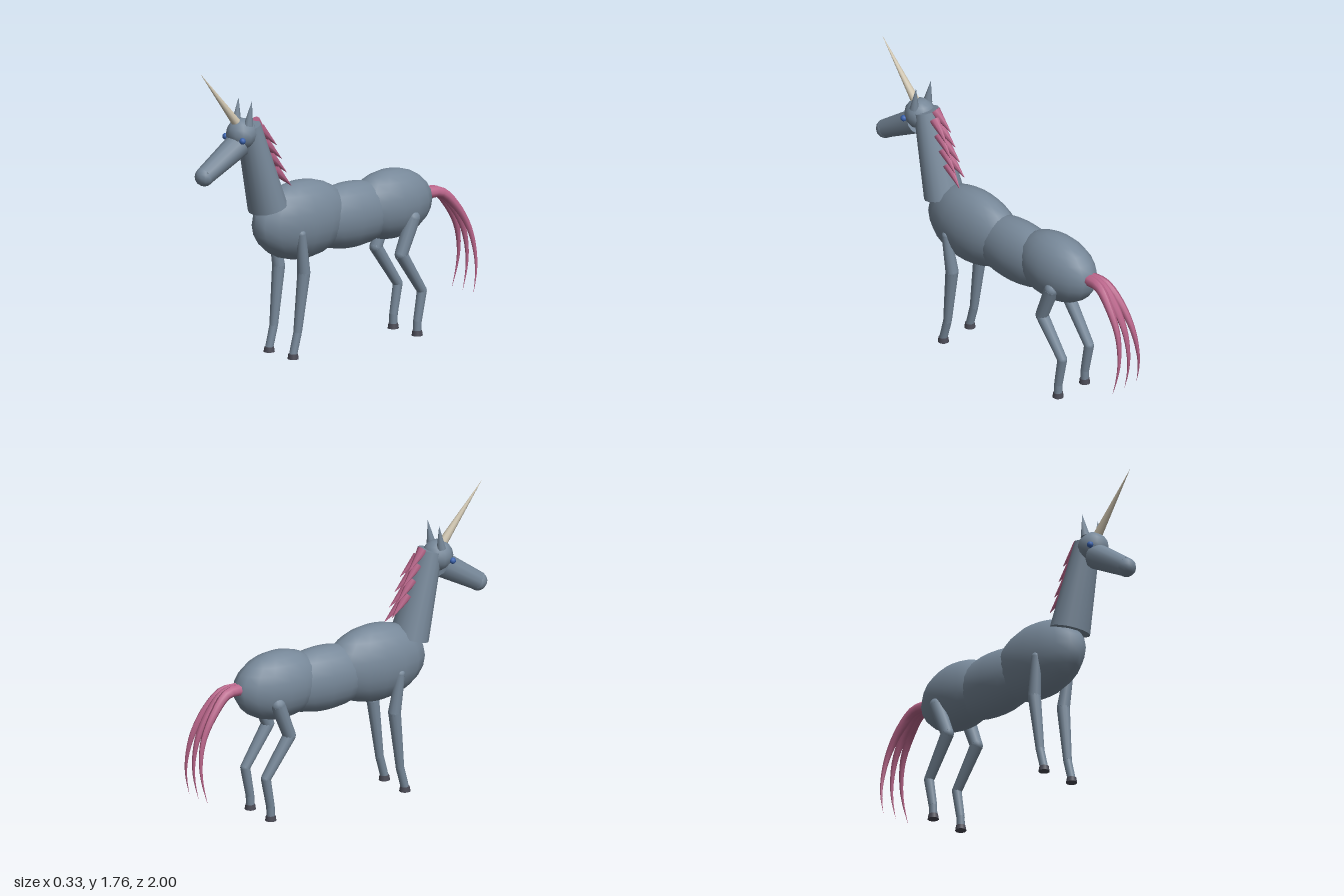
import * as THREE from 'three';

const V = (x, y, z) => new THREE.Vector3(x, y, z);

function paint(name, color) {
  const m = new THREE.MeshStandardMaterial({ color });
  m.name = name;
  return m;
}

export function createModel() {
  const model = new THREE.Group();
  model.name = 'hornedHorse';
  const coat = paint('coat', 0x778899);
  const pink = paint('pinkHair', 0xb9658a);
  const ivory = paint('hornIvory', 0xcfc5b0);
  const blue = paint('eyeBlue', 0x3a62ad);
  const dark = paint('hoofGrey', 0x4a4a55);

  function add(parent, name, geometry, material) {
    const mesh = new THREE.Mesh(geometry, material);
    mesh.name = name;
    parent.add(mesh);
    return mesh;
  }
  function ellipsoid(parent, name, c, r, material, w = 16, h = 12) {
    const mesh = add(parent, name, new THREE.SphereGeometry(1, w, h), material);
    mesh.position.copy(c);
    mesh.scale.copy(r);
    return mesh;
  }
  const ball = (parent, name, c, r, material) => ellipsoid(parent, name, c, V(r, r, r), material, 12, 8);
  // Tapered round limb running from a (radius ra) to b (radius rb)
  function limb(parent, name, a, b, ra, rb, material, sides = 12) {
    const d = b.clone().sub(a);
    const mesh = add(parent, name, new THREE.CylinderGeometry(rb, ra, d.length(), sides), material);
    mesh.position.copy(a).addScaledVector(d, 0.5);
    mesh.quaternion.setFromUnitVectors(V(0, 1, 0), d.normalize());
    return mesh;
  }

  // Barrel of the body: three overlapping ellipsoids
  ellipsoid(model, 'chest', V(0, 0.787, 0.235), V(0.16, 0.233, 0.335), coat);
  ellipsoid(model, 'belly', V(0, 0.76, -0.12), V(0.145, 0.195, 0.36), coat);
  ellipsoid(model, 'rump', V(0, 0.78, -0.42), V(0.157, 0.206, 0.29), coat);

  // Neck and head
  const neck = limb(model, 'neck', V(0, 0.895, 0.475), V(0, 1.4, 0.617), 0.112, 0.07, coat, 16);
  neck.scale.x = 1.12;
  ball(model, 'skull', V(0, 1.36, 0.667), 0.092, coat);
  limb(model, 'muzzle', V(0, 1.3, 0.69), V(0, 1.15, 0.935), 0.076, 0.056, coat);
  ball(model, 'nose', V(0, 1.146, 0.94), 0.057, coat);
  limb(model, 'horn', V(0, 1.43, 0.705), V(0, 1.76, 0.97), 0.027, 0, ivory, 10);

  // Mane: tufts alternating to either side down the back of the neck
  const mane = new THREE.Group();
  mane.name = 'mane';
  model.add(mane);
  for (let i = 0; i < 8; i++) {
    const t = i / 7;
    const side = i % 2 ? 1 : -1;
    const base = V(side * 0.012, 1.415 - 0.3 * t, 0.56 - 0.125 * t);
    limb(mane, 'maneTuft', base, V(side * 0.03, base.y - 0.115, base.z - 0.115), 0.033, 0, pink, 8);
  }

  // Tail strand: tube swept along a curve and narrowed to a point
  function strand(parent, points, r) {
    const curve = new THREE.CatmullRomCurve3(points);
    const steps = 20, sides = 8;
    const g = new THREE.TubeGeometry(curve, steps, r, sides, false);
    const p = g.attributes.position;
    const v = V(0, 0, 0), c = V(0, 0, 0);
    for (let i = 0; i <= steps; i++) {
      curve.getPointAt(i / steps, c);
      for (let j = 0; j <= sides; j++) {
        const k = i * (sides + 1) + j;
        v.fromBufferAttribute(p, k).sub(c).multiplyScalar(1 - i / steps).add(c);
        p.setXYZ(k, v.x, v.y, v.z);
      }
    }
    g.computeVertexNormals();
    add(parent, 'tailStrand', g, pink);
  }
  const tail = new THREE.Group();
  tail.name = 'tail';
  model.add(tail);
  for (const s of [-1, 0, 1]) {
    strand(tail, [
      V(s * 0.012, 0.8, -0.67), V(s * 0.025, 0.795, -0.78), V(s * 0.045, 0.7, -0.88),
      V(s * 0.06, 0.56, -0.96), V(s * 0.077, 0.41, -0.99), V(s * 0.09, 0.3, -0.985),
      V(s * 0.1, 0.175, -0.957),
    ], 0.036);
  }

  // Paired parts
  for (const s of [1, -1]) {
    const side = s > 0 ? 'left' : 'right';
    ball(model, side + 'Eye', V(s * 0.079, 1.337, 0.722), 0.019, blue);
    limb(model, side + 'Ear', V(s * 0.055, 1.415, 0.66), V(s * 0.062, 1.56, 0.64), 0.028, 0, coat, 8);

    // Each joint is [x, y, z, radius], from hip to pastern
    const legs = {
      FrontLeg: [[0.132, 0.735, 0.332, 0.028], [0.117, 0.5, 0.302, 0.038],
        [0.111, 0.15, 0.343, 0.025], [0.111, 0.025, 0.376, 0.024]],
      HindLeg: [[0.122, 0.705, -0.495, 0.044], [0.117, 0.5, -0.413, 0.038],
        [0.112, 0.262, -0.57, 0.029], [0.111, 0.085, -0.538, 0.025], [0.111, 0.025, -0.536, 0.024]],
    };
    for (const [name, joints] of Object.entries(legs)) {
      const leg = new THREE.Group();
      leg.name = side + name;
      model.add(leg);
      joints.forEach(([x, y, z, r], i) => {
        const here = V(s * x, y, z);
        const next = joints[i + 1];
        if (next) {
          ball(leg, 'joint', here, r, coat);
          limb(leg, 'legSegment', here, V(s * next[0], next[1], next[2]), r, next[3], coat);
        } else {
          limb(leg, 'hoof', V(here.x, 0, z), V(here.x, 0.03, z), 0.033, 0.028, dark);
        }
      });
    }
  }
  return model;
}
